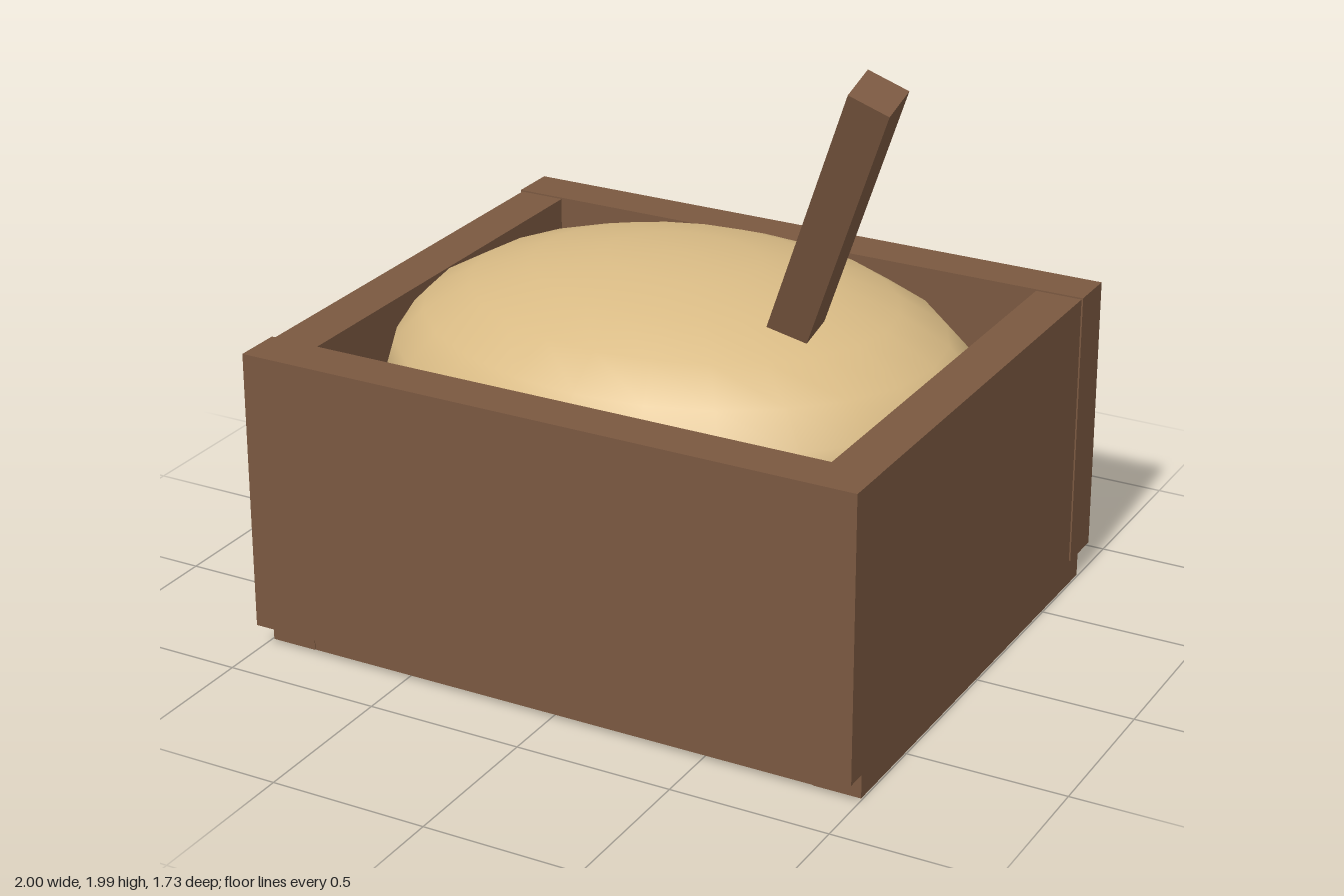
import * as THREE from 'three';

export function createModel() {
  const model = new THREE.Group();
  model.name = 'sandBox';

  const wood = new THREE.MeshStandardMaterial({ color: 0x7a5840 });
  wood.name = 'brown wood';
  const sand = new THREE.MeshStandardMaterial({ color: 0xd9bb85 });
  sand.name = 'pale sand';

  function add(name, geometry, material, x, y, z) {
    const mesh = new THREE.Mesh(geometry, material);
    mesh.name = name;
    mesh.position.set(x, y, z);
    model.add(mesh);
    return mesh;
  }

  // Floor panel between the side walls
  add('floor', new THREE.BoxGeometry(1.99, 0.15, 1.57), wood, 0, 0.075, 0);

  // Walls: the side panels reach the ground, the front and back ones stop above it
  for (const s of [-1, 1]) {
    add(s > 0 ? 'leftWall' : 'rightWall',
      new THREE.BoxGeometry(0.15, 0.97, 1.575), wood, s * 0.92, 0.485, 0);
    add(s > 0 ? 'frontWall' : 'backWall',
      new THREE.BoxGeometry(2, 0.893, 0.15), wood, 0, 0.5285, s * 0.79);
  }

  // Flattened mound filling the box, with its edges sunk in the walls
  const mound = new THREE.SphereGeometry(1, 24, 12);
  mound.scale(0.957, 0.415, 0.758);
  add('mound', mound, sand, 0, 0.77, 0);

  // Leaning square handle pushed into the mound
  const length = 1.12;
  const handleGeometry = new THREE.BoxGeometry(0.128, length, 0.128);
  handleGeometry.translate(0, -length / 2, 0);
  const handle = add('handle', handleGeometry, wood, 0.834, 1.947, 0.435);
  handle.rotation.set(0.295, 0, -0.397);

  return model;
}
